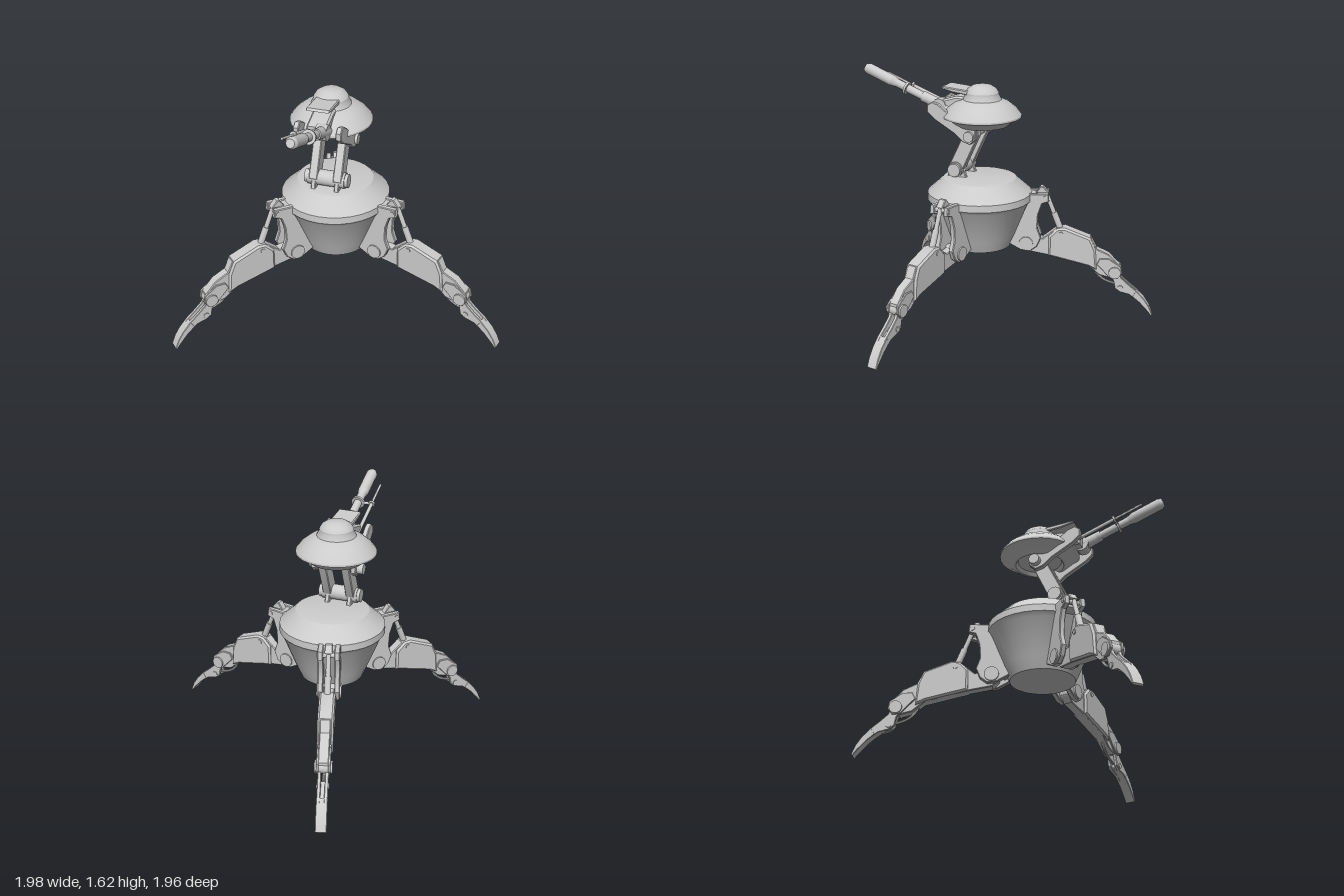
import * as THREE from 'three';
import { toCreasedNormals } from 'three/addons/utils/BufferGeometryUtils.js';

const grey = new THREE.MeshStandardMaterial({ color: 0xcccccc, side: THREE.DoubleSide });

function add(parent, name, geometry, x = 0, y = 0, z = 0) {
  const mesh = new THREE.Mesh(toCreasedNormals(geometry, 0.5), grey);
  mesh.name = name;
  mesh.position.set(x, y, z);
  parent.add(mesh);
  return mesh;
}

// Plate cut from an outline in the local xy plane, centred on z
function plate(parent, name, points, width, z = 0, bevel = 0.005) {
  const shape = new THREE.Shape(points.map(([x, y]) => new THREE.Vector2(x, y)));
  const depth = width - 2 * bevel;
  const geometry = new THREE.ExtrudeGeometry(shape, {
    depth, bevelEnabled: true, bevelThickness: bevel, bevelSize: bevel,
    bevelOffset: -bevel, bevelSegments: 1,
  });
  geometry.translate(0, 0, -depth / 2);
  return add(parent, name, geometry, 0, 0, z);
}

// Axle or pin lying along local z
function pin(parent, name, x, y, radius, width, z = 0, sides = 20) {
  return add(parent, name, new THREE.CylinderGeometry(radius, radius, width, sides).rotateX(Math.PI / 2), x, y, z);
}

// Rod between two points
function rod(parent, name, from, to, r0, r1 = r0) {
  const a = new THREE.Vector3(...from), b = new THREE.Vector3(...to);
  const dir = b.clone().sub(a);
  const mesh = add(parent, name, new THREE.CylinderGeometry(r1, r0, dir.length(), 16));
  mesh.position.copy(a).add(b).multiplyScalar(0.5);
  mesh.quaternion.setFromUnitVectors(new THREE.Vector3(0, 1, 0), dir.normalize());
  return mesh;
}

function lathe(parent, name, points) {
  return add(parent, name, new THREE.LatheGeometry(points.map(([r, y]) => new THREE.Vector2(r, y)), 32));
}

// One leg, reaching out along local +x
function createLeg() {
  const leg = new THREE.Group();
  leg.name = 'leg';
  const bracket = [[0.325, 0.84], [0.455, 0.845], [0.46, 0.79], [0.415, 0.775], [0.39, 0.7], [0.385, 0.61],
    [0.41, 0.54], [0.385, 0.48], [0.34, 0.445], [0.28, 0.45], [0.19, 0.5], [0.21, 0.55], [0.325, 0.79]];
  for (const s of [-1, 1]) plate(leg, 'hipBracket', bracket, 0.035, s * 0.053);
  plate(leg, 'hipBack', [[0.2, 0.52], [0.24, 0.5], [0.37, 0.77], [0.42, 0.79], [0.42, 0.835], [0.33, 0.835]], 0.08);
  plate(leg, 'hipCap', [[0.37, 0.835], [0.4, 0.88], [0.42, 0.88], [0.455, 0.835]], 0.05);
  pin(leg, 'hipPin', 0.312, 0.5, 0.046, 0.16);
  pin(leg, 'pistonPin', 0.435, 0.815, 0.015, 0.15);

  // Piston lifting the thigh
  rod(leg, 'pistonBarrel', [0.44, 0.825, 0], [0.497, 0.68, 0], 0.015);
  rod(leg, 'pistonRod', [0.49, 0.7, 0], [0.545, 0.56, 0], 0.021, 0.021);
  pin(leg, 'pistonPin', 0.54, 0.565, 0.015, 0.11);

  // Thigh core with a wider armoured middle
  plate(leg, 'thigh', [[0.3, 0.54], [0.36, 0.53], [0.42, 0.525], [0.5, 0.59], [0.56, 0.6], [0.74, 0.535],
    [0.775, 0.465], [0.86, 0.425], [0.93, 0.35], [0.93, 0.29], [0.88, 0.26], [0.8, 0.28], [0.72, 0.345],
    [0.45, 0.41], [0.31, 0.435], [0.27, 0.48]], 0.066);
  plate(leg, 'thighArmour', [[0.46, 0.545], [0.515, 0.6], [0.565, 0.605], [0.735, 0.54], [0.77, 0.46],
    [0.78, 0.32], [0.72, 0.345], [0.46, 0.408]], 0.1, 0, 0.012);

  // Knee joint and hose
  for (const s of [-1, 1]) {
    plate(leg, 'kneePlate', [[0.78, 0.36], [0.8, 0.4], [0.86, 0.4], [0.94, 0.345], [0.95, 0.3], [0.92, 0.26],
      [0.87, 0.265]], 0.016, s * 0.036, 0.003);
  }
  pin(leg, 'kneePin', 0.9, 0.305, 0.04, 0.11);
  const hose = new THREE.CatmullRomCurve3([[0.76, 0.33], [0.785, 0.28], [0.83, 0.24], [0.88, 0.22], [0.92, 0.21]]
    .map(([x, y]) => new THREE.Vector3(x, y, 0)));
  add(leg, 'kneeHose', new THREE.TubeGeometry(hose, 16, 0.009, 8));

  // Forked shin closing into a curved claw
  const shin = [[0.87, 0.3], [0.89, 0.33], [0.92, 0.33], [0.945, 0.265], [1.0, 0.215], [1.055, 0.17],
    [1.1, 0.115], [1.075, 0.095], [1.0, 0.15], [0.94, 0.165], [0.905, 0.19], [0.895, 0.24]];
  for (const s of [-1, 1]) plate(leg, 'shin', shin, 0.022, s * 0.023, 0.003);
  plate(leg, 'shinCore', [[0.93, 0.22], [1.0, 0.185], [1.08, 0.12], [1.07, 0.1], [1.0, 0.15], [0.93, 0.175]], 0.04);
  plate(leg, 'claw', [[1.045, 0.178], [1.1, 0.12], [1.135, 0.067], [1.158, 0.012], [1.15, 0.002],
    [1.125, 0.035], [1.07, 0.095], [1.02, 0.137]], 0.07, 0, 0.003);
  pin(leg, 'anklePin', 0.94, 0.195, 0.018, 0.08);
  return leg;
}

// Neck, yoke and gun; local x points to the model's front, local z to its right
function createTurretArm() {
  const arm = new THREE.Group();
  arm.name = 'turretArm';
  arm.rotation.y = -Math.PI / 2;
  arm.position.x = -0.155;
  for (const s of [-1, 1]) {
    plate(arm, 'neckFoot', [[0.19, 0.92], [0.33, 0.92], [0.305, 1.0], [0.26, 1.03], [0.215, 1.0]], 0.03, s * 0.075);
    plate(arm, 'neckStrut', [[0.3, 0.965], [0.312, 1.0], [0.3, 1.03], [0.185, 1.27], [0.15, 1.29], [0.105, 1.27],
      [0.1, 1.23], [0.215, 0.98], [0.24, 0.945], [0.28, 0.945]], 0.056, s * 0.078);
    pin(arm, 'lowerBolt', 0.26, 0.99, 0.043, 0.03, s * 0.125);
    pin(arm, 'upperBolt', 0.145, 1.23, 0.034, 0.04, s * 0.16 + 0.012);
    plate(arm, 'yokePlate', [[0.1, 1.28], [0.1, 1.21], [0.14, 1.175], [0.19, 1.19], [0.25, 1.24], [0.39, 1.32],
      [0.44, 1.365], [0.44, 1.41], [0.405, 1.435], [0.36, 1.42], [0.28, 1.36], [0.2, 1.3]], 0.035, s * 0.133);
  }
  pin(arm, 'lowerAxle', 0.26, 0.99, 0.026, 0.28);
  pin(arm, 'lowerHub', 0.26, 0.99, 0.05, 0.24);
  pin(arm, 'upperAxle', 0.145, 1.23, 0.026, 0.36, 0.012);

  // Gun along one sloping line
  const at = (x, z = -0.023) => [x, 1.595 + (x - 0.945) * 0.383, z];
  pin(arm, 'gunPivot', 0.4, 1.385, 0.05, 0.07, -0.023);
  rod(arm, 'gunBreech', at(0.3), at(0.5), 0.042, 0.035);
  rod(arm, 'gunBarrel', at(0.48), at(0.75), 0.027);
  rod(arm, 'gunCollar', at(0.5), at(0.53), 0.035);
  rod(arm, 'muzzleTaper', at(0.71), at(0.75), 0.026, 0.037);
  rod(arm, 'muzzle', at(0.75), at(0.925), 0.037);
  rod(arm, 'muzzleTip', at(0.925), at(0.945), 0.037, 0.026);
  rod(arm, 'sideRod', at(0.36, 0.07), at(0.65, 0.07), 0.012);
  rod(arm, 'sideRodTip', at(0.65, 0.07), at(0.83, 0.07), 0.008);
  rod(arm, 'barrelRing', at(0.638), at(0.652), 0.045);
  rod(arm, 'rodRing', at(0.638, 0.07), at(0.652, 0.07), 0.022);
  rod(arm, 'ringBridge', at(0.645), at(0.645, 0.075), 0.01);
  return arm;
}

export function createModel() {
  const model = new THREE.Group();
  model.name = 'walkerTurret';

  // Body bowl
  const body = new THREE.Group();
  body.name = 'body';
  body.position.set(-0.145, 0, 0.13);
  model.add(body);
  lathe(body, 'hull', [[0, 0.47], [0.205, 0.47], [0.24, 0.55], [0.325, 0.765], [0.345, 0.79], [0.343, 0.835],
    [0.265, 0.905], [0.24, 0.93], [0.215, 0.936], [0, 0.936]]);
  for (const degrees of [11, 135, 253]) {
    const leg = createLeg();
    leg.rotation.y = -THREE.MathUtils.degToRad(degrees);
    body.add(leg);
  }

  model.add(createTurretArm());

  // Domed head
  const head = new THREE.Group();
  head.name = 'head';
  head.position.set(-0.168, 0, 0.122);
  model.add(head);
  lathe(head, 'dome', [[0, 1.3], [0.14, 1.3], [0.155, 1.275], [0.172, 1.277], [0.225, 1.32], [0.257, 1.333],
    [0.256, 1.345], [0.225, 1.385], [0.175, 1.425], [0.125, 1.445], [0.108, 1.48], [0.108, 1.49],
    [0.092, 1.515], [0.06, 1.535], [0, 1.54]]);
  // Visor plate over the gun
  const visor = new THREE.Group();
  visor.name = 'visor';
  visor.rotation.y = -Math.PI / 2;
  head.add(visor);
  plate(visor, 'visorPlate', [[0.06, 1.475], [0.06, 1.505], [0.25, 1.52], [0.26, 1.505], [0.17, 1.485]], 0.15, 0, 0.006);
  plate(visor, 'gunMount', [[0.1, 1.46], [0.16, 1.46], [0.29, 1.42], [0.29, 1.35], [0.1, 1.34]], 0.13, 0, 0.012);
  return model;
}
